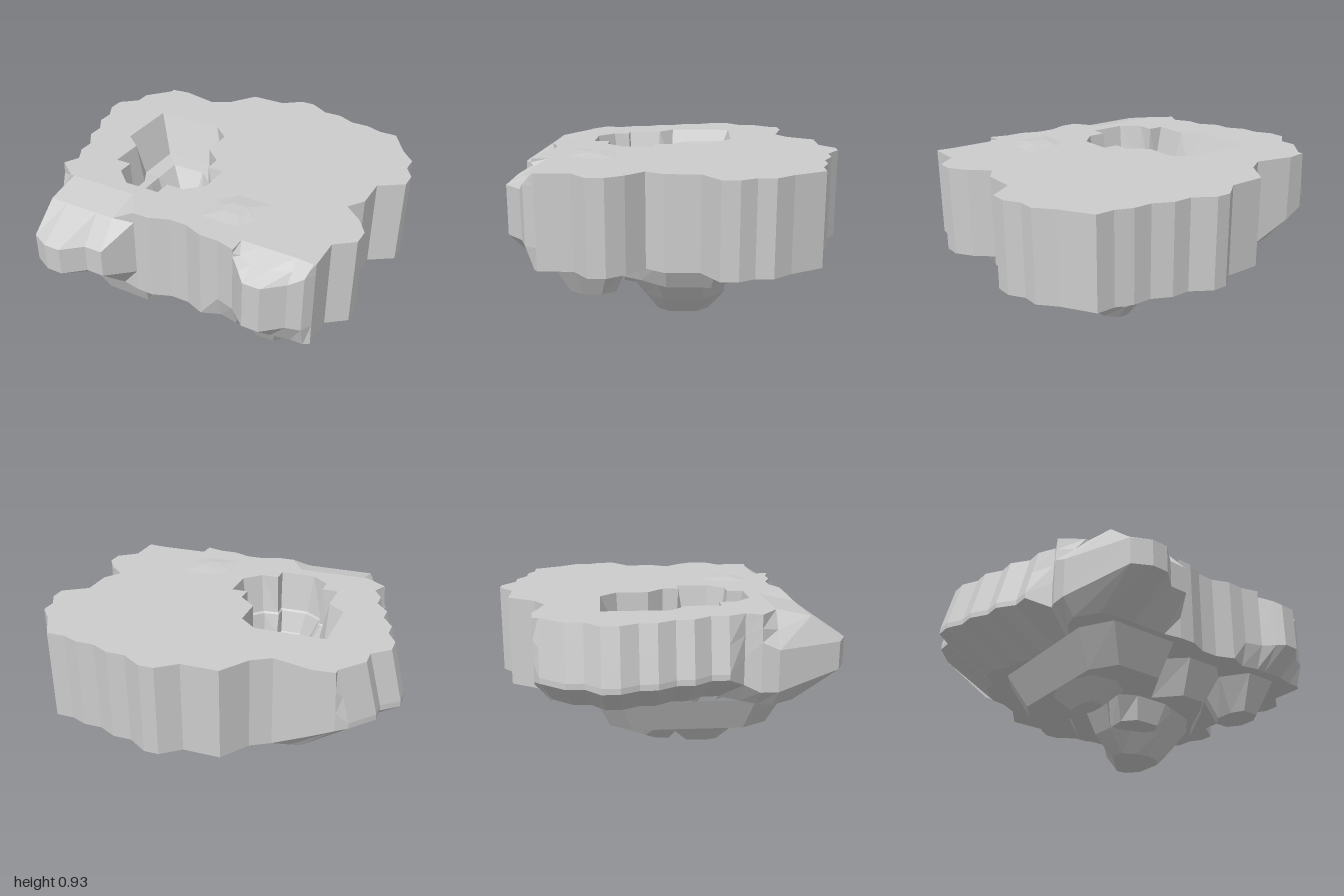
import * as THREE from 'three';

const mat = new THREE.MeshStandardMaterial({ color: 0xcccccc, flatShading: true });

// Skin between rings of [x, y, z], listed top to bottom, clockwise seen from above
function loft(rings, inward = false) {
  const p = [];
  const n = rings[0].length;
  for (let r = 0; r < rings.length - 1; r++) {
    for (let i = 0; i < n; i++) {
      const j = (i + 1) % n;
      const [a, b, c, d] = [rings[r][i], rings[r][j], rings[r + 1][j], rings[r + 1][i]];
      p.push(...(inward ? [a, c, b, a, d, c] : [a, b, c, a, c, d]).flat());
    }
  }
  const g = new THREE.BufferGeometry();
  g.setAttribute('position', new THREE.Float32BufferAttribute(p, 3));
  g.computeVertexNormals();
  return g;
}

// Flat cap over an [x, z] outline, facing up or down
function cap(outline, y, up, hole) {
  const s = up ? -1 : 1;
  const pts = (o) => o.map(([x, z]) => new THREE.Vector2(x, s * z));
  const shape = new THREE.Shape(pts(outline));
  if (hole) shape.holes.push(new THREE.Path(pts(hole)));
  return new THREE.ShapeGeometry(shape).rotateX(s * Math.PI / 2).translate(0, y, 0);
}

const at = (outline, y) => outline.map(([x, z]) => [x, y, z]);
const flat = (ring) => ring.map(([x, , z]) => [x, z]);

export function createModel() {
  const group = new THREE.Group();
  const add = (name, geo) => {
    const m = new THREE.Mesh(geo, mat);
    m.name = name;
    group.add(m);
  };
  const TOP = 0.92, BASE = 0.43;

  // Cliff stations: top edge, ridge, upper and lower brow, bottom edge
  const station = (tx, tz, x, z, uy, ly, bx, bz, ridge = [(tx + x) / 2, (TOP + uy) / 2, (tz + z) / 2]) =>
    [[tx, TOP, tz], ridge, [x, uy, z], [x, ly, z], [bx, BASE, bz]];
  const straight = ([x, z]) => station(x, z, x, z, 0.8, 0.55, x, z);
  const leaning = ([x, z]) => station(x + 0.07, z, x, z, 0.64, 0.61, x + 0.3, z * 0.95);

  const backAndRight = [
    [-0.41, -0.65], [-0.31, -0.71], [-0.21, -0.86], [-0.01, -0.86], [0.09, -0.94],
    [0.17, -0.94], [0.28, -0.87], [0.38, -0.87], [0.48, -0.82], [0.58, -0.82], [0.67, -0.785],
    [0.77, -0.785], [0.87, -0.62], [0.95, -0.53], [0.95, -0.44], [1, -0.36], [1, -0.27],
    [0.87, -0.18], [0.87, 0], [0.81, 0.09], [0.91, 0.18], [0.97, 0.27], [0.97, 0.36],
    [0.87, 0.44], [0.87, 0.62]];
  const smallBrow = [
    [0.86, 0.63, 0.84, 0.68, 0.86, 0.55, 0.84, 0.64],
    [0.77, 0.62, 0.77, 0.71, 0.82, 0.56, 0.77, 0.64], [0.67, 0.62, 0.67, 0.8, 0.82, 0.56, 0.67, 0.66],
    [0.58, 0.62, 0.58, 0.8, 0.82, 0.56, 0.58, 0.66], [0.48, 0.62, 0.54, 0.765, 0.85, 0.56, 0.54, 0.66],
    [0.48, 0.71, 0.48, 0.71, 0.88, 0.56, 0.48, 0.66], [0.38, 0.68, 0.38, 0.68, 0.88, 0.56, 0.38, 0.64]];
  const front = [[0.28, 0.68], [0.18, 0.64], [0.08, 0.64], [-0.02, 0.68], [-0.11, 0.68]];
  const bigBrow = [
    [-0.21, 0.53, -0.21, 0.84, 0.74, 0.59, -0.21, 0.66, [-0.21, 0.88, 0.72]],
    [-0.31, 0.53, -0.31, 0.84, 0.74, 0.59, -0.31, 0.66, [-0.31, 0.88, 0.72]],
    [-0.41, 0.53, -0.41, 0.93, 0.74, 0.59, -0.41, 0.66, [-0.41, 0.88, 0.72]],
    [-0.5, 0.53, -0.5, 0.93, 0.74, 0.59, -0.5, 0.66, [-0.5, 0.88, 0.72]],
    [-0.6, 0.53, -0.6, 0.88, 0.74, 0.59, -0.6, 0.64, [-0.6, 0.88, 0.72]],
    [-0.62, 0.53, -0.75, 0.53, 0.74, 0.52, -0.68, 0.52],
    [-0.74, 0.44, -0.75, 0.44, 0.78, 0.52, -0.66, 0.44], [-0.7, 0.36, -0.71, 0.36, 0.7, 0.55, -0.6, 0.36]];
  const left = [
    [-0.82, 0.27], [-0.82, 0.18], [-0.89, 0.09], [-0.89, 0], [-0.95, -0.09], [-0.95, -0.18],
    [-1, -0.27], [-1, -0.36], [-0.91, -0.44], [-0.91, -0.53], [-0.8, -0.66]];
  const backLeftCorner = [
    [-0.73, -0.69, -0.74, -0.69, 0.7, 0.6, -0.55, -0.62], [-0.62, -0.7, -0.62, -0.7, 0.75, 0.55, -0.5, -0.63]];
  const cliff = [
    ...backAndRight.map(straight), ...smallBrow.map((s) => station(...s)), ...front.map(straight),
    ...bigBrow.map((s) => station(...s)), ...left.map(leaning), ...backLeftCorner.map((s) => station(...s))];
  const rings = [0, 1, 2, 3, 4].map((k) => cliff.map((s) => s[k]));

  // Funnel-like pit: rim, ledge, inner edge of the ledge, lower step, floor
  const rim = [
    [-0.6, -0.36], [-0.21, -0.36], [-0.11, -0.27], [-0.11, -0.09], [-0.01, 0], [-0.01, 0.09],
    [0.08, 0.09], [0.08, 0.27], [-0.01, 0.36], [-0.11, 0.36], [-0.11, 0.45], [-0.31, 0.45],
    [-0.41, 0.36], [-0.41, 0.27], [-0.5, 0.27], [-0.5, 0.08], [-0.6, 0]];
  const ledge = [
    [-0.5, -0.27], [-0.21, -0.27], [-0.11, -0.26], [-0.11, -0.09], [-0.02, 0], [-0.02, 0.08],
    [0.05, 0.13], [0.05, 0.25], [-0.03, 0.33], [-0.12, 0.34], [-0.12, 0.41], [-0.29, 0.41],
    [-0.39, 0.34], [-0.4, 0.27], [-0.45, 0.26], [-0.45, 0.09], [-0.5, 0]];
  const ledgeEdge = [
    [-0.41, -0.18], [-0.21, -0.18], [-0.12, -0.1], [-0.11, -0.07], [-0.03, 0], [-0.03, 0.08],
    [0.04, 0.13], [0.04, 0.24], [-0.04, 0.32], [-0.13, 0.33], [-0.13, 0.4], [-0.28, 0.4],
    [-0.38, 0.33], [-0.39, 0.27], [-0.41, 0.26], [-0.41, 0.08], [-0.41, 0]];
  const step = [
    [-0.31, -0.09], [-0.21, -0.09], [-0.14, -0.05], [-0.12, 0], [-0.05, 0.03], [-0.04, 0.09],
    [0, 0.15], [0, 0.24], [-0.05, 0.3], [-0.13, 0.3], [-0.14, 0.36], [-0.26, 0.36],
    [-0.33, 0.31], [-0.34, 0.27], [-0.37, 0.25], [-0.37, 0.09], [-0.38, 0]];
  const floor = [
    [-0.27, 0.16], [-0.22, 0.15], [-0.18, 0.15], [-0.15, 0.15], [-0.12, 0.15], [-0.1, 0.16],
    [-0.05, 0.18], [-0.05, 0.22], [-0.08, 0.26], [-0.12, 0.27], [-0.14, 0.28], [-0.2, 0.29],
    [-0.26, 0.28], [-0.28, 0.27], [-0.29, 0.25], [-0.3, 0.2], [-0.29, 0.17]];

  add('cliff', loft(rings));
  add('plateau', cap(flat(rings[0]), TOP, true, rim));
  add('underside', cap(flat(rings[4]), BASE, false));
  add('pitWall', loft([at(rim, TOP), at(ledge, 0.7), at(ledgeEdge, 0.69), at(step, 0.57), at(floor, 0.46)], true));
  add('pitFloor', cap(floor, 0.46, true));

  // Slight swelling on the plateau
  const moundFoot = [[0.28, 0.27], [0.47, 0.27], [0.47, 0.44], [0.4, 0.53], [0.2, 0.53], [0.2, 0.36]];
  const moundTop = [[0.28, 0.36], [0.38, 0.36], [0.39, 0.38], [0.38, 0.45], [0.28, 0.45], [0.27, 0.4]];
  add('mound', loft([at(moundTop, 0.93), at(moundFoot, TOP)]));
  add('moundTop', cap(moundTop, 0.93, true));

  // Tapered rock masses hanging underneath, given as [outline, height] levels
  const rock = (name, ...levels) => {
    add(name, loft(levels.map(([outline, y]) => at(outline, y))));
    const [bottom, y] = levels.at(-1);
    add(name + 'Bottom', cap(bottom, y, false));
  };
  rock('mainRock',
    [[[-0.5, -0.4], [-0.28, -0.4], [-0.2, -0.3], [-0.1, -0.45], [0, -0.53], [0.26, -0.53], [0.32, -0.46], [0.4, -0.5],
      [0.55, -0.42], [0.66, -0.27], [0.66, 0], [0.5, 0.18], [0.38, 0.45], [0.28, 0.54], [0.08, 0.54], [-0.02, 0.45],
      [-0.11, 0.62], [-0.5, 0.62], [-0.6, 0.45], [-0.6, -0.27]], BASE],
    [[[-0.41, -0.32], [-0.3, -0.32], [-0.2, -0.2], [-0.06, -0.35], [0.02, -0.44], [0.24, -0.44], [0.32, -0.33], [0.37, -0.41],
      [0.46, -0.35], [0.55, -0.24], [0.55, 0], [0.44, 0.14], [0.31, 0.36], [0.24, 0.45], [0.1, 0.45], [-0.02, 0.32],
      [-0.15, 0.54], [-0.41, 0.54], [-0.5, 0.4], [-0.5, -0.2]], 0.24]);
  rock('sideRock',
    [[[0.5, 0.18], [0.67, 0.18], [0.77, 0.28], [0.77, 0.46], [0.67, 0.6], [0.48, 0.6], [0.38, 0.46], [0.4, 0.28]], BASE],
    [[[0.53, 0.26], [0.62, 0.26], [0.67, 0.33], [0.67, 0.43], [0.62, 0.5], [0.52, 0.5], [0.48, 0.43], [0.48, 0.33]], 0.24]);
  rock('centreTip',
    [[[0, -0.2], [0.15, -0.32], [0.35, -0.32], [0.48, -0.2], [0.48, 0.05], [0.35, 0.2], [0.15, 0.28], [0, 0.18], [-0.2, 0.15], [-0.2, -0.05]], 0.24],
    [[[0, -0.15], [0.15, -0.32], [0.25, -0.32], [0.38, -0.2], [0.38, 0.02], [0.29, 0.12], [0.14, 0.18], [0, 0.12], [-0.13, 0.09], [-0.13, -0.05]], 0.11],
    [[[0.04, -0.1], [0.16, -0.23], [0.22, -0.23], [0.28, -0.16], [0.28, 0], [0.23, 0.06], [0.14, 0.09], [0.06, 0.07], [-0.01, 0.04], [-0.01, -0.04]], 0]);
  rock('leftTip',
    [[[-0.45, 0], [-0.27, 0], [-0.2, 0.1], [-0.2, 0.3], [-0.3, 0.38], [-0.45, 0.36], [-0.5, 0.25], [-0.5, 0.1]], 0.24],
    [[[-0.4, 0.1], [-0.32, 0.1], [-0.3, 0.16], [-0.3, 0.24], [-0.33, 0.27], [-0.39, 0.27], [-0.41, 0.22], [-0.41, 0.15]], 0.14]);
  rock('frontTip',
    [[[-0.18, 0.1], [0.1, 0.1], [0.2, 0.25], [0.1, 0.3], [-0.1, 0.3], [-0.2, 0.25]], 0.24],
    [[[-0.13, 0.1], [0.05, 0.1], [0.1, 0.2], [0.06, 0.27], [-0.08, 0.27], [-0.14, 0.2]], 0.11]);
  return group;
}
